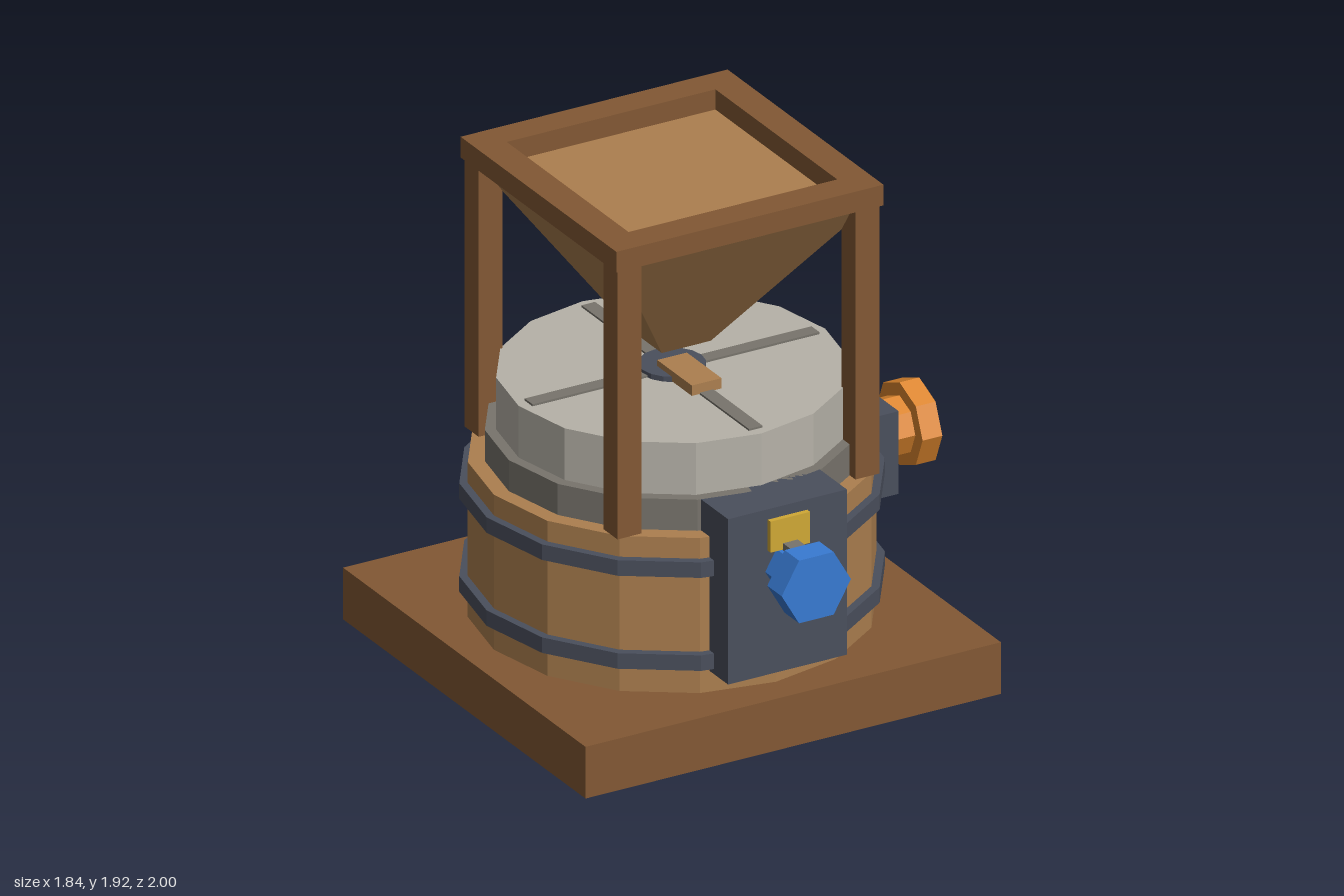
import * as THREE from 'three';

const paint = (name, color) => new THREE.MeshStandardMaterial({ name, color, flatShading: true });

export function createModel() {
  const darkWood = paint('dark wood', 0x825834);
  const lightWood = paint('light wood', 0xac7f4f);
  const stone = paint('pale stone', 0xb6b2a8);
  const darkStone = paint('dark stone', 0x78746c);
  const slate = paint('slate metal', 0x4a4f5c);
  const blue = paint('blue', 0x387ad2);
  const orange = paint('orange', 0xdc852d);
  const green = paint('green', 0x55a34b);
  const gold = paint('gold', 0xd0a835);

  const model = new THREE.Group();
  model.name = 'hopperMill';
  // everything is built around the barrel axis, which sits a little off centre
  const body = new THREE.Group();
  body.name = 'body';
  body.position.x = -0.08;
  model.add(body);

  const add = (parent, name, geometry, material, x = 0, y = 0, z = 0) => {
    const mesh = new THREE.Mesh(geometry, material);
    mesh.name = name;
    mesh.position.set(x, y, z);
    parent.add(mesh);
    return mesh;
  };
  const box = (parent, name, material, w, h, d, x, y, z) =>
    add(parent, name, new THREE.BoxGeometry(w, h, d), material, x, y, z);
  // upright 16-sided drum between two heights
  const drum = (name, material, r, y0, y1) =>
    add(body, name, new THREE.CylinderGeometry(r, r, y1 - y0, 16), material, 0, (y0 + y1) / 2, 0);

  // base, barrel, hoops and millstones
  box(body, 'base', darkWood, 1.68, 0.2, 1.68, 0, 0.1, 0);
  drum('barrel', lightWood, 0.72, 0.2, 0.8);
  drum('lowerHoop', slate, 0.75, 0.3, 0.36);
  drum('upperHoop', slate, 0.75, 0.66, 0.72);
  drum('lowerStone', darkStone, 0.66, 0.8, 0.92);
  drum('upperStone', stone, 0.62, 0.92, 1.12);

  // cross strips, hub and crank on the top stone
  box(body, 'stripAcross', darkStone, 1.16, 0.016, 0.055, 0, 1.12, 0);
  box(body, 'stripAlong', darkStone, 0.055, 0.015, 1.16, 0, 1.12, 0);
  drum('hub', slate, 0.12, 1.11, 1.14);
  box(body, 'crank', lightWood, 0.12, 0.04, 0.24, 0, 1.143, 0.12);

  // hopper stand
  for (const sx of [-1, 1])
    for (const sz of [-1, 1])
      box(body, 'post', darkWood, 0.097, 1.04, 0.097, sx * 0.481, 1.32, sz * 0.481);
  const square = (Type, h) => new Type([[-h, -h], [h, -h], [h, h], [-h, h]].map(p => new THREE.Vector2(...p)));
  const frame = square(THREE.Shape, 0.54);
  frame.holes.push(square(THREE.Path, 0.422));
  const frameGeometry = new THREE.ExtrudeGeometry(frame, { depth: 0.08, bevelEnabled: false });
  add(body, 'hopperFrame', frameGeometry.rotateX(-Math.PI / 2), darkWood, 0, 1.84, 0);
  add(body, 'hopper', new THREE.CylinderGeometry(0.722, 0.14, 0.602, 4, 1, false, Math.PI / 4),
    lightWood, 0, 1.541, 0);

  // port: mounting block with a faceted stem and knob pointing outwards
  const port = (name, turn, material, o) => {
    const group = new THREE.Group();
    group.name = name;
    group.rotation.y = turn;
    body.add(group);
    box(group, 'mountingBlock', slate, o.w, o.y1 - o.y0, o.depth, 0, (o.y0 + o.y1) / 2, 0.8 - o.depth / 2);
    const prism = (part, r, z0, z1) =>
      add(group, part, new THREE.CylinderGeometry(r, r, z1 - z0, o.sides, 1, false, Math.PI / 2)
        .rotateX(Math.PI / 2), material, 0, 0.68, (z0 + z1) / 2);
    prism('stem', o.stem, 0.8, o.knobStart);
    prism('knob', o.knob, o.knobStart, 1);
    return group;
  };
  const round = { w: 0.4, y0: 0.52, y1: 0.84, depth: 0.18, sides: 8, stem: 0.11, knob: 0.16, knobStart: 0.92 };
  port('leftPort', Math.PI / 2, orange, round);
  port('backPort', Math.PI, green, round);
  const front = port('frontPort', 0, blue,
    { w: 0.48, y0: 0.28, y1: 0.92, depth: 0.19, sides: 6, stem: 0.09, knob: 0.14, knobStart: 0.9 });
  box(front, 'goldPlate', gold, 0.16, 0.12, 0.02, 0, 0.82, 0.81);
  box(front, 'latch', darkStone, 0.06, 0.04, 0.1, 0, 0.765, 0.85);

  return model;
}
